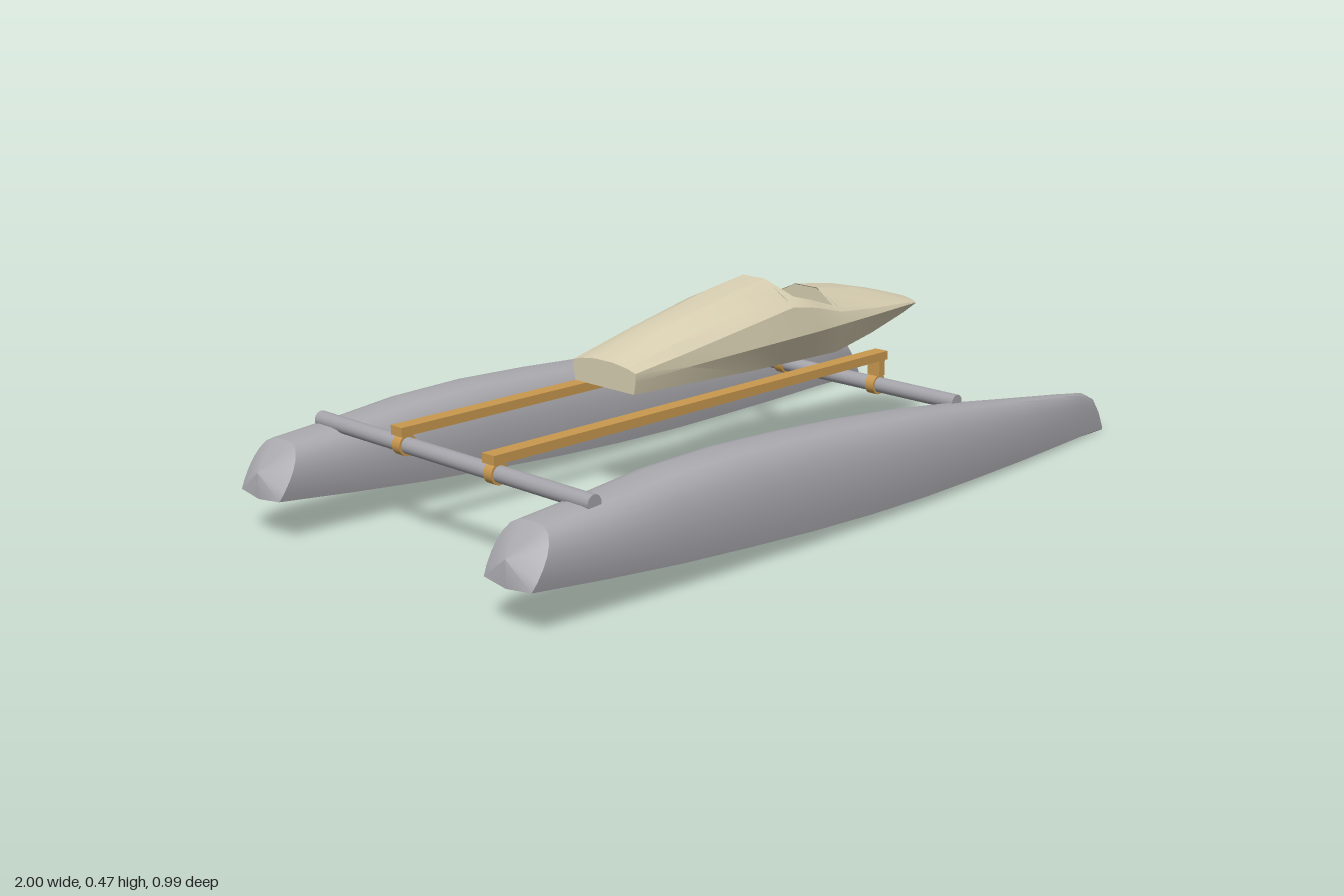
import * as THREE from 'three';
import { toCreasedNormals } from 'three/addons/utils/BufferGeometryUtils.js';

const hullGrey = new THREE.MeshStandardMaterial({ color: 0xa9a9ae });
const beamGrey = new THREE.MeshStandardMaterial({ color: 0xa3a3a9 });
const podCream = new THREE.MeshStandardMaterial({ color: 0xd6cdb0, side: THREE.DoubleSide });
const woodBrown = new THREE.MeshStandardMaterial({ color: 0xc8984f });

// Mirrors half a cross-section (keel to crown, on +z) into a closed ring
function mirrorRing(half) {
  const other = half.slice(1, -1).reverse().map(([x, y, z]) => [x, y, -z]);
  return [...half, ...other];
}

// Skins rings that run along +x; skip(i, j) leaves a quad open
function loft(rings, crease, skip = () => false) {
  const n = rings[0].length;
  const positions = rings.flat(2);
  const index = [];
  for (let i = 0; i < rings.length - 1; i++) {
    for (let j = 0; j < n; j++) {
      if (skip(i, j)) continue;
      const k = (j + 1) % n;
      const a = i * n + j, b = i * n + k, c = a + n, d = b + n;
      index.push(a, c, b, b, c, d);
    }
  }
  // end caps
  [0, rings.length - 1].forEach((i) => {
    const center = positions.length / 3;
    const ring = rings[i];
    positions.push(ring[0][0], (ring[0][1] + ring[(n / 2)][1]) / 2, 0);
    for (let j = 0; j < n; j++) {
      const a = i * n + j, b = i * n + (j + 1) % n;
      if (i === 0) index.push(center, a, b);
      else index.push(center, b, a);
    }
  });
  const geometry = new THREE.BufferGeometry();
  geometry.setAttribute('position', new THREE.Float32BufferAttribute(positions, 3));
  geometry.setIndex(index);
  return toCreasedNormals(geometry, crease);
}

// Float hull: station = [x at keel, x at deck, keel y, deck y, half width]
function hullGeometry() {
  const stations = [
    [-1, -0.93, 0.09, 0.21, 0.076],
    [-0.8, -0.79, 0.068, 0.221, 0.081],
    [-0.6, -0.6, 0.048, 0.24, 0.086],
    [-0.4, -0.4, 0.033, 0.245, 0.088],
    [-0.2, -0.2, 0.02, 0.238, 0.087],
    [0, 0, 0.011, 0.226, 0.084],
    [0.2, 0.2, 0.006, 0.209, 0.077],
    [0.4, 0.4, 0.004, 0.185, 0.064],
    [0.6, 0.6, 0.002, 0.157, 0.047],
    [0.8, 0.8, 0.001, 0.13, 0.026],
    [0.9, 0.9, 0, 0.115, 0.014],
    [0.95, 0.95, 0, 0.09, 0.008],
    [0.98, 0.98, 0, 0.05, 0.004],
    [1, 1, 0, 0.008, 0.001],
  ];
  // [share of width, share of height]
  const section = [[0, 0], [0.92, 0.06], [0.98, 0.22], [1, 0.42], [0.97, 0.6],
    [0.88, 0.76], [0.72, 0.9], [0.5, 0.975], [0.25, 1], [0, 1]];
  const rings = stations.map(([x0, x1, y0, y1, w]) => mirrorRing(
    section.map(([u, v]) => [x0 + (x1 - x0) * v, y0 + (y1 - y0) * v, w * u])));
  return loft(rings, 0.6);
}

// Pod: station = [x, floor y, floor, waist, y, shoulder, y, coaming, y, ridge, y]
function podGeometry() {
  const stations = [
    [-0.355, 0.297, 0.095, 0.1, 0.325, 0.1, 0.345, 0.075, 0.352, 0.03, 0.358],
    [-0.2, 0.293, 0.1, 0.112, 0.335, 0.108, 0.367, 0.085, 0.39, 0.03, 0.41],
    [0, 0.286, 0.105, 0.13, 0.345, 0.122, 0.4, 0.09, 0.43, 0.035, 0.455],
    [0.13, 0.281, 0.1, 0.138, 0.35, 0.127, 0.42, 0.1, 0.437, 0.035, 0.475],
    [0.22, 0.279, 0.1, 0.134, 0.35, 0.122, 0.404, 0.1, 0.42, 0.035, 0.45],
    [0.315, 0.277, 0.1, 0.126, 0.35, 0.116, 0.378, 0.1, 0.393, 0.035, 0.425],
    [0.45, 0.3, 0.095, 0.115, 0.35, 0.108, 0.365, 0.085, 0.378, 0.035, 0.405],
    [0.58, 0.33, 0.09, 0.102, 0.35, 0.099, 0.355, 0.08, 0.361, 0.035, 0.374],
    [0.655, 0.346, 0.093, 0.095, 0.348, 0.094, 0.35, 0.075, 0.351, 0.035, 0.352],
  ];
  const last = stations.length - 1;
  const rings = stations.map(([x, b, hb, w, wy, s, sy, d, dy, e, t], i) => {
    const half = [[0, b], [hb * 0.5, b], [hb, b], [w, wy], [s, sy], [d, dy], [e, t], [0, t]];
    return mirrorRing(half.map(([z, y], j) => {
      let px = x;
      if (i === last) px -= 0.035 * (z / 0.095) ** 2; // rounded nose in plan
      if (i === 3 && j === 5) px += 0.03; // raked cockpit rim
      if (i === 5 && j === 5) px -= 0.015;
      return [px, y, z];
    }));
  });
  // cockpit opening between the two coamings
  return loft(rings, 0.4, (i, j) => (i === 3 || i === 4) && j >= 5 && j <= 8);
}

// Flat wall across the pod; points are [z, y] on one side
function bulkheadGeometry(points) {
  const mirrored = points.slice().reverse().map(([z, y]) => [-z, y]);
  const shape = new THREE.Shape([...points, ...mirrored].map(([z, y]) => new THREE.Vector2(z, y)));
  return new THREE.ShapeGeometry(shape).rotateY(Math.PI / 2);
}

export function createModel() {
  const model = new THREE.Group();
  const add = (name, geometry, material, x = 0, y = 0, z = 0) => {
    const mesh = new THREE.Mesh(geometry, material);
    mesh.name = name;
    mesh.position.set(x, y, z);
    model.add(mesh);
    return mesh;
  };

  // twin hulls
  const hull = hullGeometry();
  add('leftBoardHull', hull, hullGrey, 0, 0.004, 0.408);
  add('rightBoardHull', hull, hullGrey, 0, 0.004, -0.408);

  // cross beams
  const beam = (length) => new THREE.CylinderGeometry(0.0185, 0.0185, length, 20).rotateX(Math.PI / 2);
  add('rearBeam', beam(0.89), beamGrey, -0.8, 0.228, 0);
  add('frontBeam', beam(0.85), beamGrey, 0.403, 0.19, -0.025);

  // wooden rails with clamps and front posts
  const clamp = new THREE.CylinderGeometry(0.024, 0.024, 0.025, 20).rotateX(Math.PI / 2);
  for (const z of [-0.15, 0.15]) {
    add('rail', new THREE.BoxGeometry(1.245, 0.021, 0.037), woodBrown, -0.198, 0.261, z);
    add('frontPost', new THREE.BoxGeometry(0.02, 0.045, 0.037), woodBrown, 0.405, 0.235, z);
    add('frontClamp', clamp, woodBrown, 0.403, 0.19, z);
    add('rearClamp', clamp, woodBrown, -0.8, 0.228, z);
  }

  // cockpit pod with its inner walls and keel strip
  add('pod', podGeometry(), podCream);
  add('rearBulkhead', bulkheadGeometry(
    [[0.1, 0.282], [0.136, 0.35], [0.125, 0.418], [0.1, 0.437], [0.035, 0.473]]), podCream, 0.132);
  add('frontBulkhead', bulkheadGeometry(
    [[0.1, 0.278], [0.125, 0.35], [0.115, 0.378], [0.1, 0.393], [0.035, 0.424]]), podCream, 0.313);
  add('keelStrip', new THREE.BoxGeometry(0.48, 0.014, 0.024), woodBrown, 0.16, 0.284, 0);

  return model;
}
